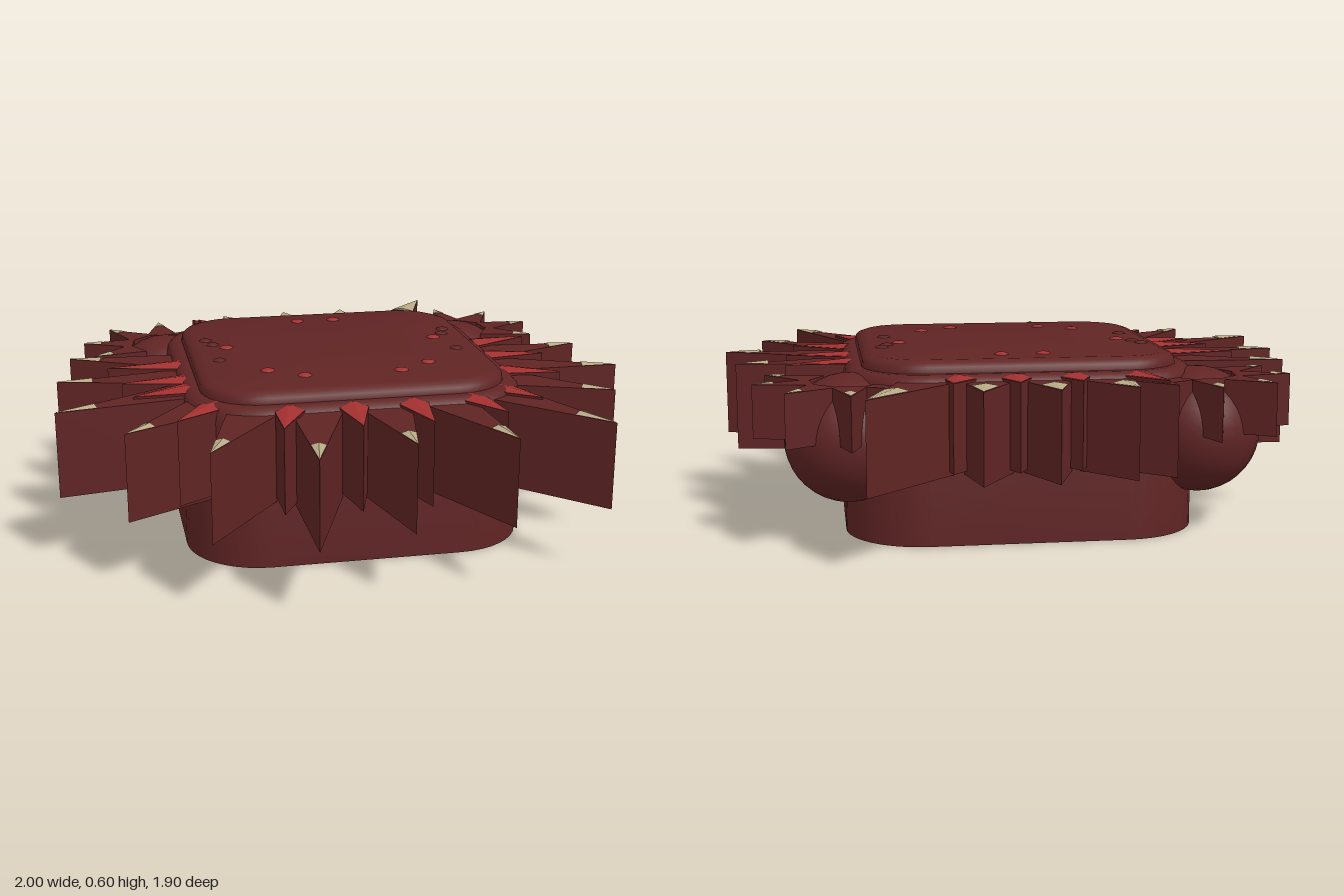
import * as THREE from 'three';
import { toCreasedNormals } from 'three/addons/utils/BufferGeometryUtils.js';

const mat = (name, color) => new THREE.MeshStandardMaterial({ name, color });

export function createModel() {
  const model = new THREE.Group();
  model.name = 'spikyBlock';
  const maroon = mat('maroon', 0x602424);
  const red = mat('red', 0xa43030);
  const bone = mat('bone', 0xb8aa86);

  const add = (name, geo, material, parent = model) => {
    const mesh = new THREE.Mesh(geo, material);
    mesh.name = name;
    parent.add(mesh);
    return mesh;
  };

  // Rounded-square body lofted from [height, inset, scale] rings
  function bodyGeometry(core, radius, rings) {
    const steps = 10, n = 4 * (steps + 1), pos = [], index = [];
    for (const [y, inset, scale = 1] of rings) {
      for (let c = 0; c < 4; c++) {
        const sx = c === 0 || c === 3 ? 1 : -1, sz = c < 2 ? 1 : -1;
        for (let i = 0; i <= steps; i++) {
          const a = (c + i / steps) * Math.PI / 2, r = radius - inset;
          pos.push((sx * core + r * Math.cos(a)) * scale, y, (sz * core + r * Math.sin(a)) * scale);
        }
      }
    }
    for (let k = 0; k < rings.length - 1; k++) {
      for (let i = 0; i < n; i++) {
        const a = k * n + i, b = k * n + (i + 1) % n;
        index.push(a, a + n, b, b, a + n, b + n);
      }
    }
    const geo = new THREE.BufferGeometry();
    geo.setAttribute('position', new THREE.Float32BufferAttribute(pos, 3));
    geo.setIndex(index);
    return toCreasedNormals(geo, 0.7);
  }

  const body = add('body', bodyGeometry(0.325, 0.26, [
    [0, 0, 0.001], [0, 0], [0.5, 0], [0.53, 0.008], [0.545, 0.022], [0.55, 0.04],
    [0.55, 0.06], [0.57, 0.063], [0.582, 0.075], [0.59, 0.1], [0.59, 0.1, 0.001],
  ]), maroon);
  body.position.set(0.005, 0, -0.075);

  // Upright triangular blade between two heights
  function bladeGeometry([tx, tz, bx, bz], half, y0, y1) {
    const len = Math.hypot(tx - bx, tz - bz);
    const nx = -(tz - bz) / len * half, nz = (tx - bx) / len * half;
    const shape = new THREE.Shape([
      new THREE.Vector2(bx + nx, -bz - nz),
      new THREE.Vector2(tx, -tz),
      new THREE.Vector2(bx - nx, -bz + nz),
    ]);
    const geo = new THREE.ExtrudeGeometry(shape, { depth: y1 - y0, bevelEnabled: false });
    return geo.rotateX(-Math.PI / 2).translate(0, y0, 0);
  }

  // Low three-faced ridge lying on a blade; part is the covered share from the tip
  function ridgeGeometry([tx, tz, bx, bz], half, y, rise, part = 1) {
    const len = Math.hypot(tx - bx, tz - bz);
    const nx = -(tz - bz) / len * half * part, nz = (tx - bx) / len * half * part;
    const mx = tx + (bx - tx) * part, mz = tz + (bz - tz) * part;
    const A = [mx + nx, y, mz + nz], B = [mx - nx, y, mz - nz];
    const T = [tx, y, tz], P = [mx, y + rise, mz];
    const geo = new THREE.BufferGeometry();
    geo.setAttribute('position', new THREE.Float32BufferAttribute(
      [A, T, P, T, B, P, B, A, P].flat(), 3));
    geo.computeVertexNormals();
    return geo;
  }

  // Long spikes: tip x, tip z, base x, base z
  const longSpikes = [
    [-0.94, -0.30, -0.54, -0.20], [-0.99, -0.01, -0.55, 0], [-1, 0.34, -0.54, 0.17],
    [-0.79, 0.60, -0.49, 0.34], [-0.55, 0.83, -0.36, 0.44], [-0.24, 0.95, -0.16, 0.47],
    [0.08, 0.87, 0.07, 0.47], [0.40, 0.88, 0.28, 0.45], [0.75, 0.79, 0.46, 0.37],
    [0.88, 0.45, 0.54, 0.23], [1, 0.15, 0.56, 0.06], [0.95, -0.16, 0.56, -0.11],
    [0.54, -0.95, 0.33, -0.62], [0.18, -0.85, 0.14, -0.63], [-0.06, -0.85, -0.05, -0.63],
    [-0.31, -0.83, -0.24, -0.63], [-0.44, -0.80, -0.34, -0.61],
  ];
  longSpikes.forEach((s, i) => {
    add('longSpike', bladeGeometry(s, 0.09, 0.235, 0.53), maroon);
    const back = s[1] < -0.7;
    if (i < 16) add('spikeTip', ridgeGeometry(s, 0.09, 0.532, 0.008, back ? 0.5 : 0.28), bone);
  });

  // Short spikes with red ridged tops
  const shortSpikes = [
    [-0.81, -0.12, -0.55, -0.12], [-0.77, 0.08, -0.55, 0.07], [-0.74, 0.24, -0.55, 0.18],
    [-0.62, 0.53, -0.47, 0.37], [-0.30, 0.67, -0.25, 0.47], [-0.05, 0.69, -0.04, 0.47],
    [0.18, 0.69, 0.16, 0.47], [0.44, 0.64, 0.36, 0.44], [0.60, 0.51, 0.48, 0.36],
    [0.76, 0.23, 0.56, 0.16], [0.78, -0.02, 0.56, -0.04], [0.78, -0.26, 0.56, -0.21],
    [-0.42, -0.76, -0.34, -0.61], [-0.15, -0.73, -0.14, -0.63],
    [0.05, -0.74, 0.05, -0.63], [0.26, -0.73, 0.23, -0.63],
  ];
  shortSpikes.forEach((s) => {
    add('shortSpike', bladeGeometry(s, 0.055, 0.25, 0.538), maroon);
    add('shortSpikeTop', ridgeGeometry(s, 0.055, 0.54, 0.012), red);
  });

  // Spiked balls at the two back corners
  const ballSpikes = [[0, -0.31], [0.2, -0.235], [0.305, -0.045], [0.27, 0.15], [-0.2, -0.22]];
  for (const side of [-1, 1]) {
    const ball = new THREE.Group();
    ball.name = side > 0 ? 'leftBall' : 'rightBall';
    ball.position.set(0.577 * side, 0.335, -0.505);
    model.add(ball);
    add('ballCore', new THREE.SphereGeometry(0.21, 32, 20), maroon, ball);
    for (const [x, z] of ballSpikes) {
      const k = 0.12 / Math.hypot(x, z);
      const s = [x * side, z, x * side * k, z * k];
      add('ballSpike', bladeGeometry(s, 0.06, 0.01, 0.185), maroon, ball);
      add('ballSpikeTip', ridgeGeometry(s, 0.06, 0.187, 0.006, 0.36), bone, ball);
    }
  }

  // Small domed studs on the top plate
  const stud = new THREE.SphereGeometry(0.025, 16, 6, 0, Math.PI * 2, 0, Math.PI / 2);
  stud.scale(1, 0.4, 1);
  const redStuds = [[0.07, -0.46], [0.386, -0.13], [0.283, 0.19], [0.168, 0.27]];
  const darkStuds = [[0.45, -0.24], [0.43, -0.18], [0.43, 0.03]];
  for (const side of [-1, 1]) {
    for (const [x, z] of redStuds) {
      add('redStud', stud, red).position.set(0.004 + x * side, 0.588, z);
    }
    for (const [x, z] of darkStuds) {
      add('darkStud', stud, maroon).position.set(0.004 + x * side, 0.587, z);
    }
  }

  return model;
}
